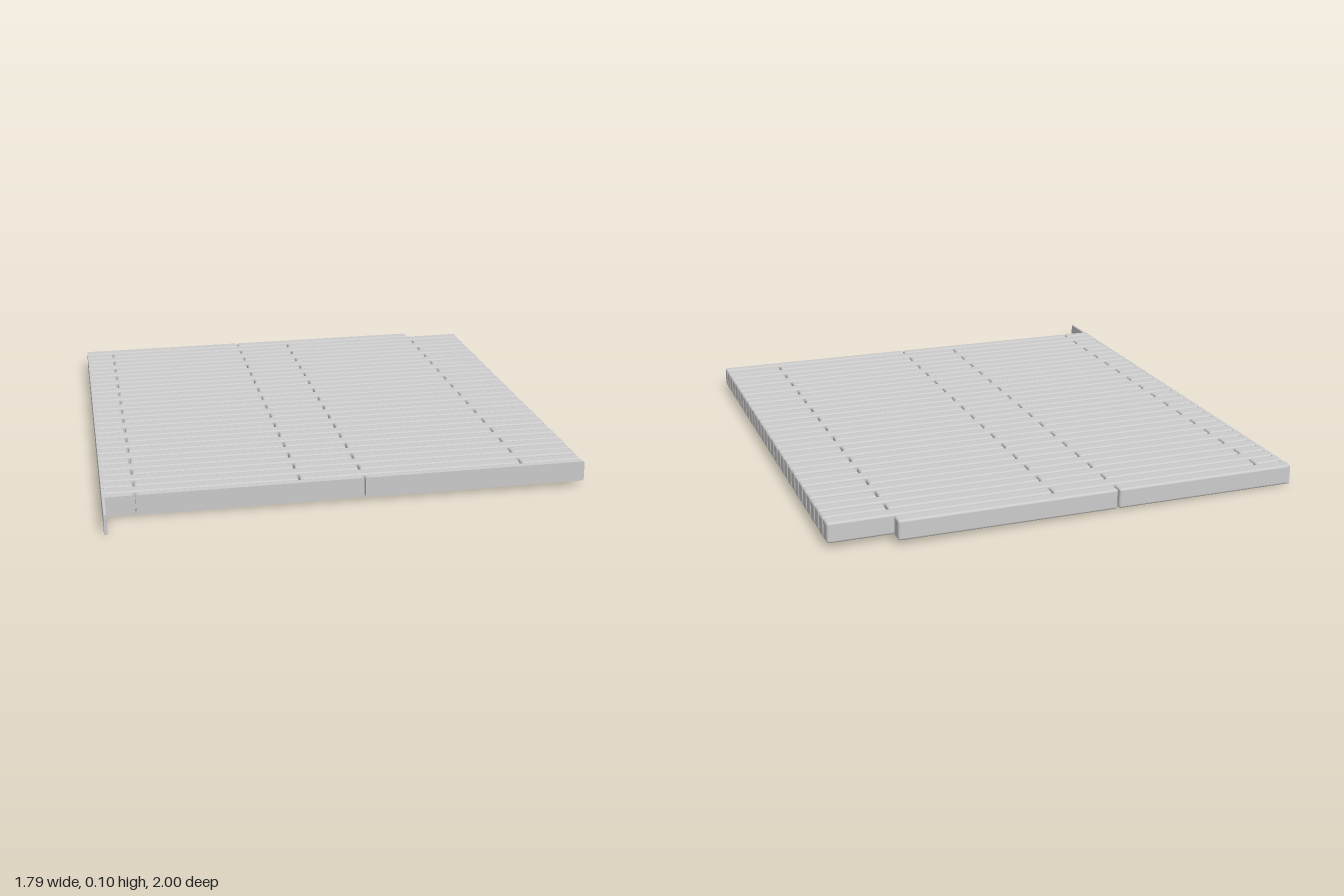
import * as THREE from 'three';
import { RoundedBoxGeometry } from 'three/addons/geometries/RoundedBoxGeometry.js';

const material = new THREE.MeshStandardMaterial({ color: 0xcccccc });
const ROWS = 32, PITCH = 0.0587, WIDTH = 0.0535, HEIGHT = 0.077, GAP = 0.005;
const LEFT = -0.897, RIGHT = 0.895, FRONT = 0.854, BACK = -1;

// saw a board off flat along x (min) or z (max): clamp vertices, then fix the cut's normals
function sawOff(geometry, axis, limit, side) {
  const p = geometry.attributes.position, n = geometry.attributes.normal;
  const get = (i) => p.getComponent(i, axis);
  for (let i = 0; i < p.count; i++) {
    if ((get(i) - limit) * side > 0) p.setComponent(i, axis, limit);
  }
  for (let i = 0; i < p.count; i += 3) {
    if ([0, 1, 2].every((k) => Math.abs(get(i + k) - limit) < 1e-6)) {
      for (let k = 0; k < 3; k++) {
        n.setXYZ(i + k, 0, 0, 0);
        n.setComponent(i + k, axis, side);
      }
    }
  }
}

function plank(x0, x1, z0) {
  const cutLeft = x0 === LEFT;
  const start = cutLeft ? x0 - 0.05 : x0;
  const geometry = new RoundedBoxGeometry(x1 - start, HEIGHT, WIDTH, 2, 0.009);
  geometry.translate((start + x1) / 2, 0, z0 + WIDTH / 2);
  if (cutLeft) sawOff(geometry, 0, LEFT, -1);
  if (z0 + WIDTH > FRONT) sawOff(geometry, 2, FRONT, 1);
  const mesh = new THREE.Mesh(geometry, material);
  mesh.name = 'plank';
  return mesh;
}

export function createModel() {
  const model = new THREE.Group();
  model.name = 'deck';

  // staggered rows of planks, sloping gently up towards +x
  const planks = new THREE.Group();
  planks.name = 'planks';
  planks.position.y = 0.049;
  planks.rotation.z = 0.0103;
  for (let row = 0; row < ROWS; row++) {
    const joints = row % 2 ? [LEFT, -0.78, 0.055, RIGHT] : [LEFT, -0.18, 0.66, RIGHT];
    for (let j = 0; j < 3; j++) {
      if (row === 0 && j === 2) continue; // back corner board is missing
      const x0 = j === 0 ? LEFT : joints[j] + GAP / 2;
      const x1 = j === 2 ? RIGHT : joints[j + 1] - GAP / 2;
      const board = plank(x0, x1, BACK + row * PITCH);
      if (row % 2 === 0 && j === 2) board.position.y = -0.002;
      planks.add(board);
    }
  }
  model.add(planks);

  // thin edge board along the low side, running past the front of the deck
  const fascia = new THREE.Mesh(new RoundedBoxGeometry(0.012, 0.077, 2, 2, 0.003), material);
  fascia.name = 'edgeBoard';
  fascia.position.set(-0.892, 0.0385, 0);
  model.add(fascia);

  return model;
}
